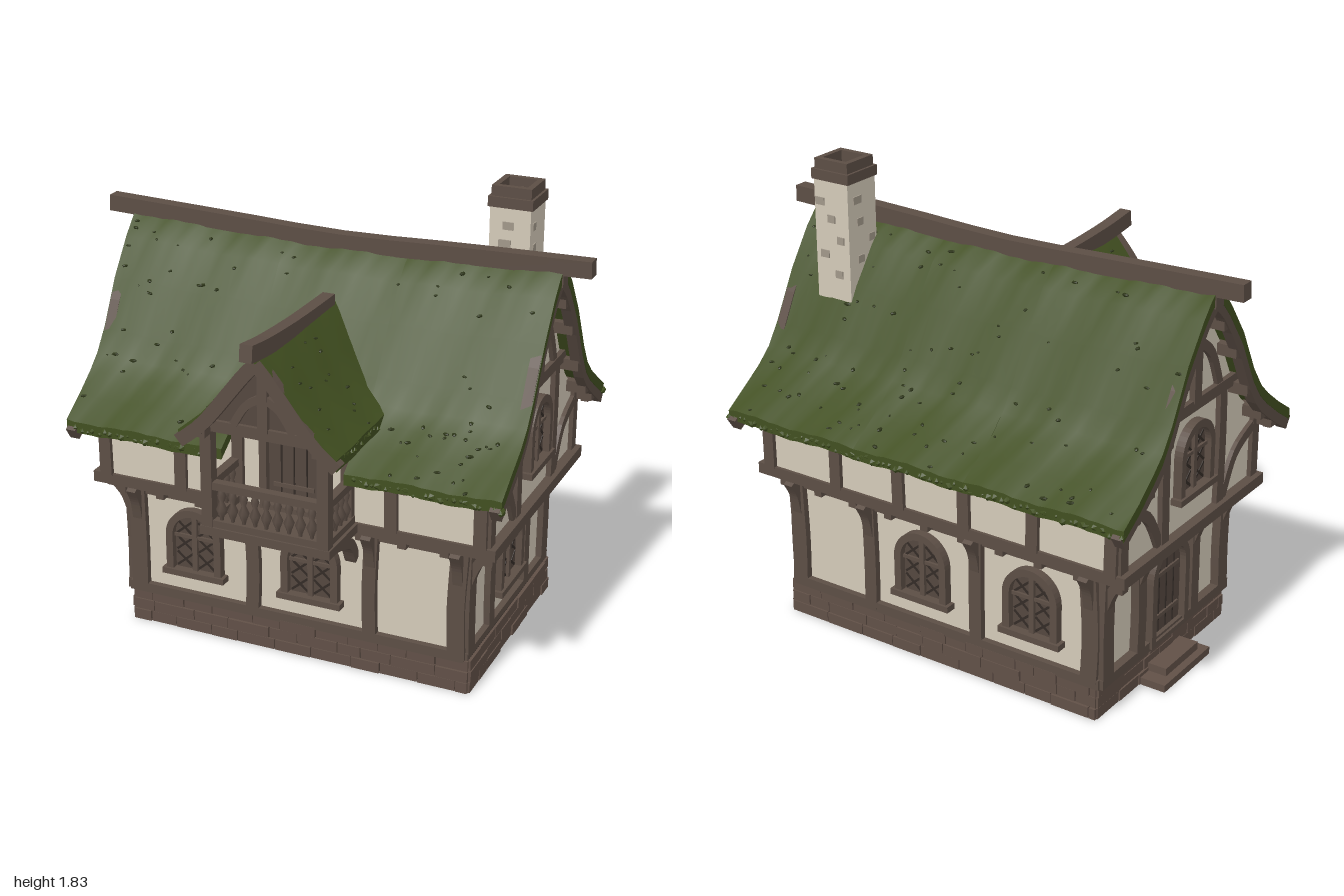
import * as THREE from 'three';
import { mergeGeometries, toCreasedNormals } from 'three/addons/utils/BufferGeometryUtils.js';

const mat = (name, color) => { const m = new THREE.MeshStandardMaterial({ color }); m.name = name; return m; };
const WOOD = mat('timber', 0x5c4e45), PLASTER = mat('plaster', 0xd4cab9), MOSS = mat('moss', 0x414f20),
  DARKMOSS = mat('dark moss', 0x2d3519), STONE = mat('base stone', 0x615047), GAP = mat('dark gaps', 0x332b26),
  PLANK = mat('planks', 0x54473f), PATCH = mat('bare stone', 0xa1988a);

let seed = 7;
const rand = (a = 0, b = 1) => { seed = (seed * 16807) % 2147483647; return a + (b - a) * seed / 2147483647; };

function add(parent, geo, material, name, x = 0, y = 0, z = 0) {
  const m = new THREE.Mesh(geo, material);
  m.name = name; m.position.set(x, y, z); parent.add(m);
  return m;
}
const box = (w, h, d) => new THREE.BoxGeometry(w, h, d);
const vec = pts => pts.map(p => new THREE.Vector2(p[0], p[1]));
const extrude = (shape, depth, steps = 1) => new THREE.ExtrudeGeometry(shape, { depth, steps, bevelEnabled: false, curveSegments: 10 });

// Flat timber of constant width following points in the xy plane
function timber(pts, w, d) {
  const n = pts.length > 2 ? 10 : 1, c = new THREE.SplineCurve(vec(pts)), a = [], b = [];
  for (let i = 0; i <= n; i++) {
    const p = c.getPoint(i / n), t = c.getTangent(i / n);
    a.push([p.x - t.y * w / 2, p.y + t.x * w / 2]);
    b.unshift([p.x + t.y * w / 2, p.y - t.x * w / 2]);
  }
  return extrude(new THREE.Shape(vec([...a, ...b])), d).translate(0, 0, -d / 2);
}
// Turns an xy profile so that its x runs along z
const turned = g => g.rotateY(-Math.PI / 2);

// Roof cross-section: distance from ridge, height
const ROOF = [[0, 1.585], [0.05, 1.545], [0.1, 1.49], [0.2, 1.35], [0.3, 1.165], [0.36, 1.08], [0.42, 1.025], [0.51, 0.96], [0.608, 0.895]];
const DORMER = [[0, 1.395], [0.05, 1.34], [0.12, 1.25], [0.22, 1.125], [0.315, 1.045]];
const both = p => [...p.slice(1).map(([h, y]) => [-h, y]).reverse(), ...p];
const sag = (x, y) => -0.03 * (1 - (x / 0.9) ** 2) * Math.max(0, (y - 0.85) / 0.75);
function heightAt(h) {
  const i = Math.max(1, ROOF.findIndex(p => p[0] >= h)), [h0, y0] = ROOF[i - 1], [h1, y1] = ROOF[i];
  return y0 + (y1 - y0) * (h - h0) / (h1 - h0);
}
// Thick thatch slab swept along its length, with wavy surface
function slab(outer, length, steps, move) {
  const inner = outer.map(([h, y]) => [h, y - 0.045]).reverse();
  const g = extrude(new THREE.Shape(vec([...outer, ...inner])), length, steps);
  move(g);
  const p = g.attributes.position;
  for (let i = 0; i < p.count; i++) {
    const x = p.getX(i), y = p.getY(i), z = p.getZ(i);
    p.setY(i, y + 0.004 * Math.sin(x * 17 + z * 9) + 0.002 * Math.sin(x * 61 + z * 31));
  }
  return toCreasedNormals(g, 0.6);
}
function mainSlab(outer, x0, x1) {
  return slab(outer, x1 - x0, Math.ceil((x1 - x0) * 28), g => {
    turned(g).translate(x1, 0, 0);
    const p = g.attributes.position;
    for (let i = 0; i < p.count; i++) p.setY(i, p.getY(i) + sag(p.getX(i), p.getY(i)));
  });
}

const archPath = (P, w, h, y0 = 0) => {
  const s = new P();
  s.moveTo(-w / 2, y0); s.lineTo(w / 2, y0); s.lineTo(w / 2, h - w / 2);
  s.absarc(0, h - w / 2, w / 2, 0, Math.PI, false); s.closePath();
  return s;
};
// Arched window or door facing +z, its foot at y
function opening(parent, name, isDoor, w, h, x, y, z) {
  const g = new THREE.Group(); g.name = name; g.position.set(x, y, z); parent.add(g);
  const frame = archPath(THREE.Shape, w, h);
  frame.holes.push(archPath(THREE.Path, w - 0.06, h - 0.03, 0.02));
  add(g, extrude(frame, 0.035), WOOD, name + 'Frame');
  add(g, extrude(archPath(THREE.Shape, w - 0.05, h - 0.025), 0.008), PLANK, name + 'Panel');
  const iw = w - 0.06;
  if (isDoor) {
    for (const u of [-0.25, 0, 0.25]) add(g, box(0.005, h - 0.09, 0.004), GAP, 'plankGap', u * iw, h / 2 - 0.01, 0.01);
    for (const v of [0.25, 0.68]) add(g, box(iw * 0.8, 0.016, 0.008), WOOD, 'hinge', 0, h * v, 0.013);
  } else {
    add(g, box(w + 0.03, 0.025, 0.05), WOOD, 'sill', 0, 0.01, 0.02);
    add(g, box(0.022, h - 0.04, 0.02), WOOD, 'mullion', 0, h / 2, 0.012);
    add(g, box(iw, 0.014, 0.016), WOOD, 'transom', 0, h * 0.57, 0.01);
    for (const s of [-1, 1]) for (const k of [0.06, 0.13, 0.2])
      for (const d of [-1, 1])
        add(g, timber([[s * 0.012, k - d * 0.03], [s * iw * 0.46, k + d * 0.03]], 0.009, 0.008), GAP, 'lattice', 0, 0, 0.007);
  }
}

// Timber frame for one wall, facing +z; lo and up are the wall distances of the two floors
function wallFrame(house, name, turn, lo, up, halfLo, halfUp, lowPosts, upPosts) {
  const g = new THREE.Group(); g.name = name; g.rotation.y = turn; house.add(g);
  add(g, box(halfLo * 2 + 0.03, 0.04, 0.04), WOOD, 'sillBeam', 0, 0.15, lo + 0.005);
  add(g, box(halfLo * 2, 0.035, 0.03), WOOD, 'topPlate', 0, 0.583, lo);
  for (const u of lowPosts) {
    const k = rand(-0.008, 0.008);
    add(g, timber([[u, 0.14], [u + k, 0.35], [u - k, 0.6]], Math.abs(u) > halfLo - 0.06 ? 0.07 : 0.055, 0.045), WOOD, 'lowerPost', 0, 0, lo + 0.003);
    const reach = up - lo;
    add(g, turned(timber([[0, 0.46], [reach * 0.35, 0.54], [reach, 0.6]], 0.035, 0.04)), WOOD, 'bracket', u, 0, lo + 0.01);
  }
  for (const u of upPosts) add(g, timber([[u, 0.64], [u + rand(-0.006, 0.006), 0.9]], 0.05, 0.035), WOOD, 'upperPost', 0, 0, up);
  for (let u = -halfUp + 0.1; u < halfUp; u += 0.17) add(g, box(0.035, 0.03, 0.04), WOOD, 'joistEnd', u, 0.59, up - 0.015);
  return g;
}

export function createModel() {
  const model = new THREE.Group(); model.name = 'cottage';
  const house = new THREE.Group(); house.name = 'house'; house.position.z = -0.125; model.add(house);

  // Stone base: dark core with irregular blocks
  add(house, box(1.43, 0.136, 0.925), GAP, 'baseCore', 0.015, 0.072, 0);
  add(house, box(1.44, 0.006, 0.935), STONE, 'baseUnderside', 0.015, 0.003, 0);
  const blocks = [];
  for (const [turn, len, out] of [[0, 1.44, 0.462], [Math.PI, 1.44, 0.462], [Math.PI / 2, 0.93, 0.715], [-Math.PI / 2, 0.93, 0.715]])
    for (let row = 0; row < 3; row++)
      for (let u = -len / 2; u < len / 2 - 0.02;) {
        const w = Math.min(rand(0.08, 0.19), len / 2 - u);
        const b = box(w - 0.004, 0.044, 0.03 + rand(0, 0.015));
        blocks.push(b.translate(u + w / 2, 0.022 + row * 0.047, out - 0.008).rotateY(turn).translate(0.015, 0, 0));
        u += w;
      }
  add(house, mergeGeometries(blocks), STONE, 'baseStones');
  add(house, box(0.13, 0.03, 0.34), STONE, 'lowerStep', -0.755, 0.015, 0);
  add(house, box(0.1, 0.035, 0.24), STONE, 'upperStep', -0.74, 0.045, 0.01);

  // Walls
  add(house, box(1.4, 0.48, 0.9), PLASTER, 'lowerWalls', 0.005, 0.37, 0);
  const under = ROOF.filter(p => p[0] < 0.5).map(([h, y]) => [h, y - 0.065]);
  const bodyShape = new THREE.Shape(vec([[-0.5, 0.62], ...both([...under, [0.5, 0.9]]), [0.5, 0.62]]));
  const body = turned(extrude(bodyShape, 1.6, 8)).translate(0.8, 0, 0), bp = body.attributes.position;
  for (let i = 0; i < bp.count; i++) bp.setY(i, bp.getY(i) + sag(bp.getX(i), bp.getY(i)));
  body.computeVertexNormals();
  add(house, body, PLASTER, 'upperWalls');
  add(house, box(1.68, 0.045, 1.025), WOOD, 'floorFrame', 0, 0.625, 0);

  // Long walls
  const low = [-0.67, -0.17, 0.33, 0.685];
  const front = wallFrame(house, 'frontWall', 0, 0.45, 0.5, 0.7, 0.82, low, [-0.78, -0.45, 0.43, 0.78]);
  const back = wallFrame(house, 'backWall', Math.PI, 0.45, 0.5, 0.7, 0.82, low.map(u => -u), [-0.78, -0.45, -0.15, 0.15, 0.45, 0.78]);
  for (const x of [-0.42, 0.08]) {
    opening(front, 'window', false, 0.24, 0.29, x, 0.25, 0.45);
    opening(back, 'window', false, 0.24, 0.29, -x, 0.25, 0.45);
  }

  // Gable walls
  for (const s of [-1, 1]) {
    const g = wallFrame(house, s > 0 ? 'rightGable' : 'leftGable', s * Math.PI / 2, 0.705, 0.8, 0.45, 0.5, [-0.425, -0.2, 0.2, 0.425], [-0.475, 0.475]);
    if (s > 0) opening(g, 'window', false, 0.26, 0.29, 0, 0.25, 0.705);
    else opening(g, 'door', true, 0.27, 0.41, 0, 0.14, 0.705);
    opening(g, 'upperWindow', false, 0.24, 0.29, 0, 0.77, 0.8);
    add(g, box(0.62, 0.045, 0.035), WOOD, 'collarBeam', 0, 1.12, 0.803);
    add(g, box(0.05, 0.4, 0.04), WOOD, 'kingPost', 0, 1.33, 0.803);
    add(g, box(0.055, 0.1, 0.06), WOOD, 'ridgePost', 0, 1.56, 0.865);
    for (const k of [-1, 1]) {
      add(g, timber([[k * 0.2, 0.64], [k * 0.205, 0.9], [k * 0.2, 1.12]], 0.05, 0.035), WOOD, 'gablePost', 0, 0, 0.803);
      add(g, timber([[k * 0.01, 1.36], [k * 0.11, 1.28], [k * 0.18, 1.13]], 0.038, 0.03), WOOD, 'archBrace', 0, 0, 0.802);
      add(g, timber([[k * 0.47, 0.87], [k * 0.32, 0.8], [k * 0.23, 0.65]], 0.042, 0.03), WOOD, 'cornerBrace', 0, 0, 0.802);
      add(g, timber(ROOF.map(([h, y]) => [k * h, y - 0.057]), 0.055, 0.04), WOOD, 'bargeBoard', 0, 0, 0.867);
      for (const i of [2, 3, 4, 6, 7]) add(g, box(0.045, 0.045, 0.1), WOOD, 'purlinEnd', k * (ROOF[i][0] - 0.01), ROOF[i][1] - 0.075, 0.83);
    }
  }

  // Main roof, its front eave open below the dormer
  add(house, mainSlab(both(ROOF), -0.89, -0.22), MOSS, 'mainRoofLeft');
  add(house, mainSlab(both(ROOF).slice(0, -3), -0.22, 0.28), MOSS, 'mainRoofMiddle');
  add(house, mainSlab(both(ROOF), 0.28, 0.89), MOSS, 'mainRoofRight');
  add(house, timber([[-1, 1.59], [-0.5, 1.575], [0, 1.56], [0.5, 1.577], [1, 1.59]], 0.065, 0.055), WOOD, 'ridgeBeam');
  for (let x = -0.84; x < 0.86; x += 0.168) for (const s of [-1, 1])
    if (s < 0 || Math.abs(x - 0.03) > 0.3) add(house, box(0.03, 0.03, 0.07), WOOD, 'rafterTail', x, 0.855, s * 0.55);

  // Moss clumps: dark ones scattered, green ones along the eaves
  const clump = (x, y, z, r, flat) => new THREE.IcosahedronGeometry(r, 0).scale(1.4, flat, 0.8).rotateY(rand(0, 6)).translate(x, y, z);
  const dark = [], fringe = [];
  for (let i = 0; i < 190; i++) {
    const x = rand(-0.87, 0.87), h = rand(0.05, 0.6), s = i % 2 ? 1 : -1, y = heightAt(h);
    if (s > 0 && h > 0.17 && Math.abs(x - 0.03) < 0.35) continue;
    dark.push(clump(x, y + sag(x, y), s * h, rand(0.006, 0.013), 0.6));
  }
  for (let x = -0.88; x < 0.89; x += 0.026) for (const s of [-1, 1])
    if (s < 0 || Math.abs(x - 0.03) > 0.27) fringe.push(clump(x, 0.868 + rand(-0.012, 0.008), s * 0.6, rand(0.01, 0.019), 0.9));

  // Dormer
  const dormer = new THREE.Group(); dormer.name = 'dormer'; dormer.position.set(0.03, 0, 0.125); house.add(dormer);
  add(dormer, slab(both(DORMER), 0.69, 16, g => g), MOSS, 'dormerRoof');
  add(dormer, turned(timber([[0.06, 1.38], [0.35, 1.385], [0.6, 1.4], [0.76, 1.42]], 0.065, 0.05)), WOOD, 'dormerRidge');
  add(dormer, box(0.48, 0.42, 0.38), PLASTER, 'dormerWalls', 0, 0.85, 0.195);
  opening(dormer, 'balconyDoor', true, 0.27, 0.41, 0.01, 0.65, 0.385);
  add(dormer, extrude(new THREE.Shape(vec([[-0.22, 1.06], [0.22, 1.06], [0, 1.34]])), 0.02), PLANK, 'dormerGable', 0, 0, 0.6);
  add(dormer, box(0.5, 0.045, 0.05), WOOD, 'tieBeam', 0, 1.06, 0.61);
  add(dormer, box(0.04, 0.28, 0.03), WOOD, 'dormerKingPost', 0, 1.21, 0.625);
  for (const k of [-1, 1]) {
    add(dormer, timber(DORMER.map(([h, y]) => [k * h, y - 0.04]), 0.052, 0.035), WOOD, 'dormerBargeBoard', 0, 0, 0.676);
    add(dormer, timber([[k * 0.01, 1.2], [k * 0.07, 1.16], [k * 0.12, 1.08]], 0.03, 0.025), WOOD, 'dormerBrace', 0, 0, 0.625);
    add(dormer, box(0.045, 0.045, 0.3), WOOD, 'wallPlate', k * 0.235, 1.05, 0.53);
    add(dormer, box(0.045, 0.43, 0.04), WOOD, 'wallPost', k * 0.225, 0.84, 0.385);
    for (let z = 0.32; z < 0.67; z += 0.03) fringe.push(clump(0.03 + k * 0.308, 1.025 + rand(-0.008, 0.008), z + 0.125, 0.014, 0.9));
    for (let i = 0; i < 14; i++) {
      const j = 1 + i % 3, t = rand(), [a, b] = [DORMER[j], DORMER[j + 1]];
      dark.push(clump(0.03 + k * (a[0] + (b[0] - a[0]) * t), a[1] + (b[1] - a[1]) * t, rand(0.3, 0.66) + 0.125, rand(0.006, 0.011), 0.6));
    }
  }
  add(house, mergeGeometries(dark), DARKMOSS, 'mossClumps');
  add(house, mergeGeometries(fringe), MOSS, 'mossFringe');

  // Balcony
  const balcony = new THREE.Group(); balcony.name = 'balcony'; dormer.add(balcony);
  add(balcony, box(0.53, 0.035, 0.27), WOOD, 'balconyFloor', 0, 0.63, 0.505);
  const profile = vec([[0.006, 0], [0.008, 0.02], [0.021, 0.055], [0.008, 0.085], [0.016, 0.11], [0.008, 0.14]]);
  const baluster = (x, z) => add(balcony, new THREE.LatheGeometry(profile, 6), WOOD, 'baluster', x, 0.665, z);
  for (const y of [0.66, 0.815]) add(balcony, box(0.48, 0.03, 0.035), WOOD, 'frontRail', 0, y, 0.615);
  for (let i = -4; i <= 4; i++) baluster(i * 0.046, 0.615);
  for (const k of [-1, 1]) {
    add(balcony, box(0.045, 0.45, 0.045), WOOD, 'balconyPost', k * 0.235, 0.84, 0.615);
    for (const y of [0.66, 0.815]) add(balcony, box(0.035, 0.03, 0.24), WOOD, 'sideRail', k * 0.235, y, 0.5);
    for (let i = 0; i < 4; i++) baluster(k * 0.235, 0.43 + i * 0.046);
    add(balcony, turned(timber([[0.33, 0.47], [0.39, 0.56], [0.54, 0.61]], 0.04, 0.045)), WOOD, 'balconyBracket', k * 0.22, 0, 0);
  }

  // Chimney
  const chimney = new THREE.Group(); chimney.name = 'chimney'; chimney.position.set(0.65, 0, -0.15); house.add(chimney);
  add(chimney, box(0.16, 0.57, 0.165), PLASTER, 'chimneyStack', 0, 1.47, 0);
  const ring = (r, hole, h) => {
    const s = new THREE.Shape(vec([[-r, -r], [r, -r], [r, r], [-r, r]]));
    s.holes.push(new THREE.Path(vec([[-hole, -hole], [-hole, hole], [hole, hole], [hole, -hole]])));
    return extrude(s, h).rotateX(-Math.PI / 2);
  };
  add(chimney, ring(0.088, 0.055, 0.04), WOOD, 'chimneyCollar', 0, 1.752, 0);
  add(chimney, ring(0.078, 0.055, 0.042), WOOD, 'chimneyCap', 0, 1.79, 0);
  add(chimney, box(0.12, 0.02, 0.12), PLANK, 'flue', 0, 1.765, 0);
  add(chimney, box(0.012, 0.03, 0.11), WOOD, 'flueDivider', 0, 1.785, 0);
  for (let i = 0; i < 20; i++) {
    const w = rand(0.03, 0.05), y = 1.36 + (i >> 2) * 0.075 + rand(0, 0.03), u = rand(-0.055, 0.055);
    const m = add(chimney, box(w, 0.03, 0.008).translate(u, 0, 0.083 - (i % 2) * 0.002), PATCH, 'bareStone', 0, y, 0);
    m.rotation.y = (i % 4) * Math.PI / 2;
  }
  return model;
}
